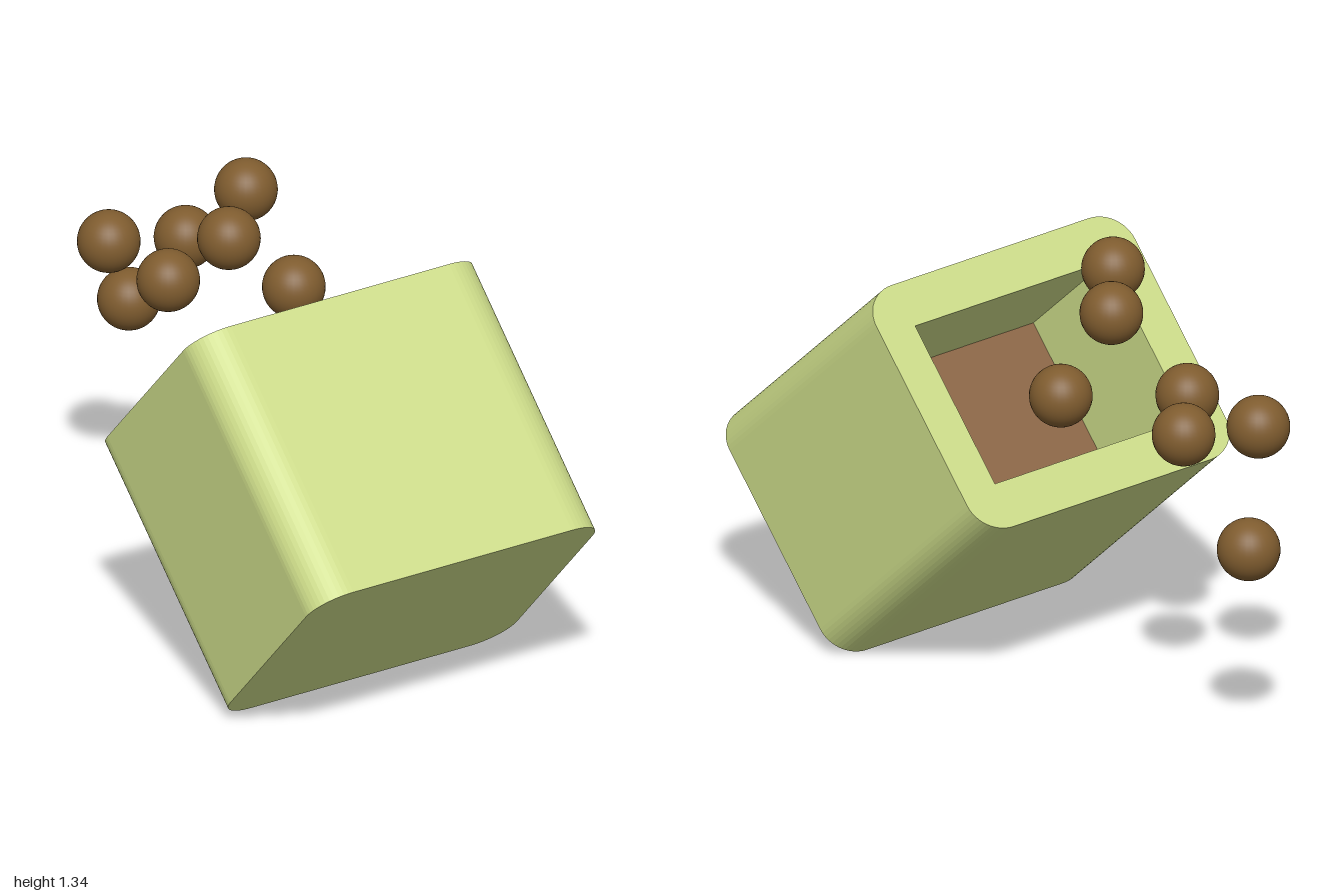
import * as THREE from 'three';

const W = 1.01, H = 0.81, DEPTH = 0.895; // tilted container size
const HOLE_W = 0.75, HOLE_H = 0.53, HOLE_DEPTH = 0.45;
const BASE = 0.05;

// Rounded rectangle with slightly wider than tall corners
function outline() {
  const s = new THREE.Shape(), a = W / 2, b = H / 2, rx = 0.12, ry = 0.105;
  s.moveTo(-a + rx, -b);
  s.lineTo(a - rx, -b);
  s.absellipse(a - rx, -b + ry, rx, ry, -Math.PI / 2, 0);
  s.absellipse(a - rx, b - ry, rx, ry, 0, Math.PI / 2);
  s.absellipse(-a + rx, b - ry, rx, ry, Math.PI / 2, Math.PI);
  s.absellipse(-a + rx, -b + ry, rx, ry, Math.PI, Math.PI * 1.5);
  s.closePath();
  return s;
}

export function createModel() {
  const model = new THREE.Group();
  const green = new THREE.MeshStandardMaterial({ color: 0xcbda88 });
  const brown = new THREE.MeshStandardMaterial({ color: 0x8a6545 });
  const ballBrown = new THREE.MeshStandardMaterial({ color: 0x7f5c2f });

  const add = (parent, name, geometry, material, x = 0, y = 0, z = 0) => {
    const mesh = new THREE.Mesh(geometry, material);
    mesh.name = name;
    mesh.position.set(x, y, z);
    parent.add(mesh);
  };
  const extrude = (shape, depth) =>
    new THREE.ExtrudeGeometry(shape, { depth, bevelEnabled: false, curveSegments: 6 });

  // Container, built along z and tipped so its mouth faces up and back
  const container = new THREE.Group();
  container.name = 'container';
  container.position.set(0, 0.303, 0.728);
  container.rotation.x = -2.399;
  model.add(container);

  const wall = outline();
  const a = HOLE_W / 2, b = HOLE_H / 2;
  wall.holes.push(new THREE.Path([
    new THREE.Vector2(-a, -b), new THREE.Vector2(-a, b),
    new THREE.Vector2(a, b), new THREE.Vector2(a, -b),
  ]));
  add(container, 'containerBase', extrude(outline(), BASE), green);
  add(container, 'containerWalls', extrude(wall, DEPTH - BASE), green, 0, 0, BASE);

  // Contents filling the lower half of the cavity
  const fill = DEPTH - HOLE_DEPTH - BASE;
  add(container, 'contents', new THREE.BoxGeometry(HOLE_W, HOLE_H, fill), brown, 0, 0, BASE + fill / 2);

  // Balls tumbling out of the mouth
  const balls = [
    [-0.115, 1.255, -0.077], [0.11, 1.255, -0.328],
    [0.19, 0.97, -0.193], [-0.095, 0.97, -0.433], [0.11, 0.97, -0.652], [-0.095, 0.97, -0.752],
    [0.077, 0.675, -0.906],
  ];
  const ball = new THREE.SphereGeometry(0.094, 32, 24);
  balls.forEach((p, i) => add(model, `ball${i + 1}`, ball, ballBrown, ...p));

  return model;
}
